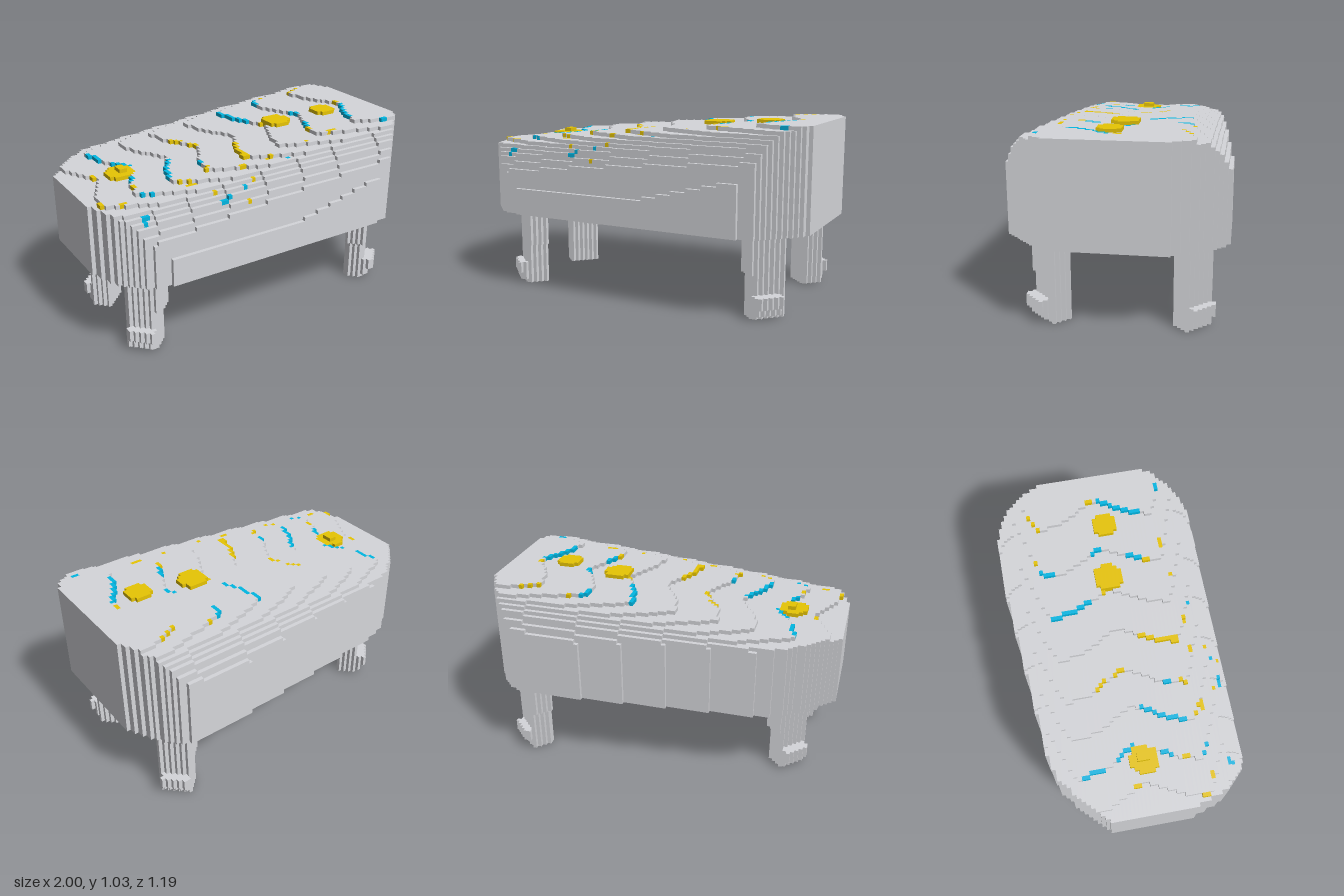
import * as THREE from 'three';

// Block grid: NX x NY x NZ cubes of edge P
const NX = 91, NY = 48, NZ = 54, P = 2 / 91, BASE = 21;
const GREY = 1, YELLOW = 2, CYAN = 3;
const cx = i => (i + 0.5 - NX / 2) * P;
const cy = j => (j + 0.5) * P;
const cz = k => (k + 0.5 - NZ / 2) * P;

// Piecewise linear curve through [t, value] points
function curve(pts, t) {
  if (t <= pts[0][0]) return pts[0][1];
  for (let n = 1; n < pts.length; n++) {
    const [a, va] = pts[n - 1], [b, vb] = pts[n];
    if (t <= b) return va + (vb - va) * (t - a) / (b - a);
  }
  return pts[pts.length - 1][1];
}

// Plan outline of the body: front and back edge for each x
const FRONT = [[-1, 0.24], [-0.97, 0.33], [-0.93, 0.42], [-0.85, 0.52], [-0.78, 0.565], [-0.65, 0.594],
  [0.65, 0.594], [0.78, 0.56], [0.85, 0.5], [0.93, 0.42], [0.97, 0.36], [1, 0.3]];
const BACK = [[-1, 0.2], [-0.94, 0.26], [-0.8, 0.4], [-0.72, 0.46], [-0.57, 0.497], [0.4, 0.583],
  [0.78, 0.583], [0.85, 0.54], [0.93, 0.42], [0.98, 0.32], [1, 0.28]];
const inside = (x, z) => Math.abs(x) < 1 && z < curve(FRONT, x) && z > -curve(BACK, x);

// Terraces rise toward +x, zigzag across z and fall away at both long edges
const RISE = [[-1.03, 39], [-0.82, 40], [-0.62, 41], [-0.41, 42], [-0.2, 43], [0.04, 44],
  [0.28, 45], [0.53, 46], [0.83, 47], [1.1, 48]];
const ZIGZAG = [[0, 0], [0.1, -0.05], [0.2, -0.11], [0.3, -0.13]];
const FALL = [[0.33, 0], [0.38, 0.5], [0.42, 1], [0.45, 1.3], [0.472, 2], [0.494, 3], [0.516, 4],
  [0.538, 6], [0.56, 8]];
const FACE = [[0.05, 28], [0.62, 34.3]];
function topLevel(x, z) {
  if (!inside(x, z)) return 0;
  const edge = z > 0 ? z : -z - P;
  const level = edge > 0.571 ? curve(FACE, x)
    : curve(RISE, x - curve(ZIGZAG, Math.abs(z))) - curve(FALL, edge);
  return Math.min(47, Math.floor(level + 1e-6));
}

// Coloured runs along the terrace edges: level, z from, z to, colour
const SEAMS = [
  [40, -0.06, -0.02, YELLOW], [40, 0.28, 0.32, YELLOW], [41, -0.33, -0.2, CYAN], [41, -0.13, -0.02, CYAN],
  [41, 0.1, 0.18, CYAN], [41, 0.22, 0.27, YELLOW], [41, 0.33, 0.37, CYAN], [42, 0.05, 0.28, CYAN],
  [42, 0.33, 0.37, YELLOW], [43, -0.18, -0.1, YELLOW], [43, -0.07, -0.01, YELLOW], [43, 0.2, 0.24, CYAN],
  [43, 0.29, 0.33, YELLOW], [44, 0.12, 0.33, YELLOW], [45, -0.35, -0.12, CYAN], [45, -0.04, 0, YELLOW],
  [46, -0.37, -0.29, CYAN], [46, -0.4, -0.37, YELLOW], [46, -0.06, 0, CYAN], [46, 0.13, 0.22, CYAN],
  [46, 0.22, 0.27, YELLOW], [47, -0.4, -0.33, YELLOW], [47, -0.05, 0, YELLOW], [47, 0.02, 0.26, CYAN]];

// Small coloured spots on the front terraces: x, z, half length, colour
const SPOTS = [
  [-0.85, 0.36, 0.025, YELLOW], [-0.46, 0.38, 0.025, YELLOW], [-0.15, 0.385, 0.025, YELLOW],
  [0.04, 0.39, 0.025, YELLOW], [0.3, 0.37, 0.012, YELLOW], [0.51, 0.35, 0.035, YELLOW],
  [0.87, 0.385, 0.022, CYAN], [0.13, 0.43, 0.012, CYAN], [-0.78, 0.48, 0.012, CYAN],
  [-0.8, 0.5, 0.012, CYAN], [-0.37, 0.48, 0.012, YELLOW], [-0.33, 0.52, 0.035, CYAN],
  [-0.2, 0.5, 0.012, CYAN], [-0.2, 0.54, 0.012, YELLOW], [-0.14, 0.47, 0.012, YELLOW],
  [-0.07, 0.3, 0.025, YELLOW], [-0.07, 0.32, 0.025, YELLOW]];

// One mesh from the exposed faces of all filled cells, merged into strips
function blocks(name, material, filled) {
  const size = [NX, NY, NZ], offset = [-NX / 2, 0, -NZ / 2];
  const grid = new Uint8Array(NX * NY * NZ);
  const at = c => c.every((v, n) => v >= 0 && v < size[n]) ? grid[(c[0] * NY + c[1]) * NZ + c[2]] : 0;
  for (let i = 0; i < NX; i++) for (let j = 0; j < NY; j++) for (let k = 0; k < NZ; k++)
    if (filled(i, j, k)) grid[(i * NY + j) * NZ + k] = 1;
  const pos = [];
  for (let d = 0; d < 3; d++) {
    const u = (d + 1) % 3, v = (d + 2) % 3;
    // strips run along the longer of the two in-plane axes
    const run = size[u] >= size[v] ? u : v, row = run === u ? v : u;
    for (const s of [1, -1]) {
      const c = [0, 0, 0];
      const open = () => {
        if (!at(c)) return false;
        const n = c.slice(); n[d] += s;
        return !at(n);
      };
      for (c[d] = 0; c[d] < size[d]; c[d]++) for (c[row] = 0; c[row] < size[row]; c[row]++) {
        let start = -1;
        for (c[run] = 0; c[run] <= size[run]; c[run]++) {
          const show = c[run] < size[run] && open();
          if (show && start < 0) start = c[run];
          if (show || start < 0) continue;
          const corner = (a, b) => {
            const q = [0, 0, 0];
            q[d] = c[d] + (s > 0 ? 1 : 0);
            q[run] = a ? c[run] : start;
            q[row] = c[row] + b;
            return q.map((w, n) => (w + offset[n]) * P);
          };
          const A = corner(0, 0), B = corner(1, 0), C = corner(1, 1), D = corner(0, 1);
          const forward = (run === u) === (s > 0);
          pos.push(...(forward ? [A, B, C, A, C, D] : [A, C, B, A, D, C]).flat());
          start = -1;
        }
      }
    }
  }
  const geo = new THREE.BufferGeometry();
  geo.setAttribute('position', new THREE.Float32BufferAttribute(pos, 3));
  geo.computeVertexNormals();
  const mesh = new THREE.Mesh(geo, material);
  mesh.name = name;
  return mesh;
}

export function createModel() {
  const group = new THREE.Group();
  group.name = 'terracedTable';
  const material = (name, color) => Object.assign(new THREE.MeshStandardMaterial({ color }), { name });
  const grey = material('grey', 0xd5d6da);
  const yellow = material('yellow', 0xe7c504);
  const cyan = material('cyan', 0x00b7e3);

  // Height, hollow zone and edge colour of each column
  const W = 4 * P, height = [], hollow = [], seam = [];
  for (let i = 0; i < NX; i++) for (let k = 0; k < NZ; k++) {
    const x = cx(i), z = cz(k), h = topLevel(x, z);
    height.push(h);
    hollow.push([[W, 0], [-W, 0], [0, W], [0, -W], [W * 0.7, W * 0.7], [W * 0.7, -W * 0.7],
      [-W * 0.7, W * 0.7], [-W * 0.7, -W * 0.7]].every(([a, b]) => inside(x + a, z + b)));
    const edge = topLevel(x - P, z) < h;
    const run = edge && SEAMS.find(s => s[0] === h && z >= s[1] && z <= s[2]);
    const spot = SPOTS.find(s => Math.abs(x - s[0]) < s[2] && Math.abs(z - s[1]) < 0.012);
    seam.push(run ? run[3] : spot ? spot[3] : GREY);
  }

  // Hollow body, open underneath, with coloured terrace seams
  const shell = (i, j, k) => {
    const n = i * NZ + k, h = height[n];
    if (j < BASE || j >= h || (hollow[n] && j < h - 3)) return 0;
    return j === h - 1 ? seam[n] : GREY;
  };
  group.add(blocks('bodyShell', grey, (i, j, k) => shell(i, j, k) === GREY));
  group.add(blocks('yellowSeams', yellow, (i, j, k) => shell(i, j, k) === YELLOW));
  group.add(blocks('cyanSeams', cyan, (i, j, k) => shell(i, j, k) === CYAN));

  // Round studs on top: x, z, radius, top level
  const studs = [[-0.7, 0.015, 0.08, 41], [-0.69, 0.015, 0.03, 42], [0.35, 0.01, 0.08, 46], [0.67, 0.04, 0.07, 47]];
  group.add(blocks('topStuds', yellow, (i, j, k) => studs.some(([x, z, r, top]) =>
    j < top && j >= top - 2 && Math.hypot(cx(i) - x, cz(k) - z) < r)));

  // Drum, balls (x, y, z, radius) and cores hanging in the hollow
  group.add(blocks('innerDrum', yellow, (i, j, k) =>
    j > BASE && j < 41 && Math.hypot(cx(i) + 0.01, cz(k) - 0.04) < 0.2));
  const balls = [[-0.51, 0.64, -0.19, 0.16], [-0.48, 0.635, 0.23, 0.165], [0.52, 0.64, 0.23, 0.16],
    [0.79, 0.66, 0.2, 0.13], [0.58, 0.64, -0.23, 0.16]];
  group.add(blocks('innerBalls', yellow, (i, j, k) => balls.some(([x, y, z, r]) =>
    Math.hypot(cx(i) - x, cy(j) - y, cz(k) - z) < r)));
  group.add(blocks('innerCores', cyan, (i, j, k) =>
    j > 28 && j < 40 && Math.abs(Math.abs(cx(i)) - 0.45) < 0.06 && Math.abs(cz(k) - 0.04) < 0.06));

  // Legs turned to the corners, each with a toe pointing outward
  const legs = [['frontLeftLeg', 0.757, 0.355], ['frontRightLeg', -0.745, 0.355],
    ['backLeftLeg', 0.757, -0.405], ['backRightLeg', -0.74, -0.195]];
  for (const [name, x, z] of legs) {
    group.add(blocks(name, grey, (i, j, k) => {
      if (j > 25) return false;
      const dx = (cx(i) - x) * Math.sign(x), dz = (cz(k) - z) * Math.sign(z);
      const out = (dx + dz) * Math.SQRT1_2, side = (dx - dz) * Math.SQRT1_2;
      const leg = Math.abs(out) < 0.06 && side < 0.1 && side > (j < 11 ? -0.075 : -0.1);
      const toe = j >= (out > 0.085 ? 3 : 1) && j < 6 && out > 0 && out < 0.11 && Math.abs(side) < 0.08;
      return leg || toe;
    }));
  }
  return group;
}
